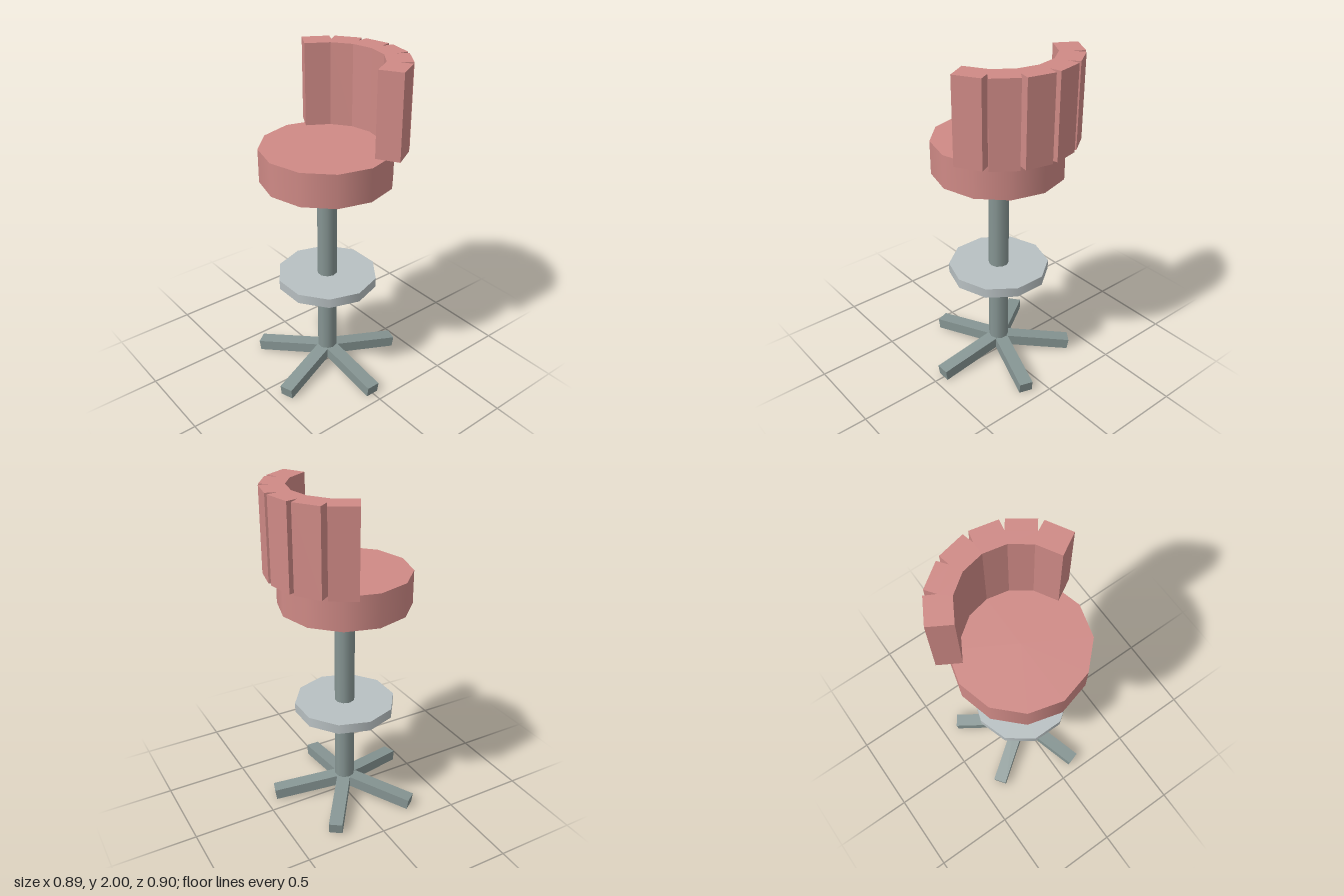
import * as THREE from 'three';

const CX = -0.0125, CZ = 0.004; // column axis

export function createModel() {
  const model = new THREE.Group();
  model.name = 'barStool';
  const upholstery = new THREE.MeshStandardMaterial({ color: 0xcf8a86 });
  upholstery.name = 'rose upholstery';
  const metal = new THREE.MeshStandardMaterial({ color: 0x869593 });
  metal.name = 'grey metal';
  const paleMetal = new THREE.MeshStandardMaterial({ color: 0xb8c0c2 });
  paleMetal.name = 'pale metal';

  const add = (name, geometry, material, parent = model) => {
    const mesh = new THREE.Mesh(geometry, material);
    mesh.name = name;
    parent.add(mesh);
    return mesh;
  };

  // Upright disc or post between two heights
  const disc = (name, radius, y0, y1, sides, material) => {
    const geometry = new THREE.CylinderGeometry(radius, radius, y1 - y0, sides);
    geometry.rotateY(Math.PI / 2);
    add(name, geometry, material).position.set(CX, (y0 + y1) / 2, CZ);
  };
  disc('seat', 0.388, 1.308, 1.508, 12, upholstery);
  disc('column', 0.061, 0.1, 1.31, 10, metal);
  disc('footRest', 0.305, 0.614, 0.673, 10, paleMetal);

  // Five sloping legs around the column
  const legGeometry = new THREE.BoxGeometry(0.46, 0.067, 0.082);
  legGeometry.translate(0.23, -0.0335, 0);
  legGeometry.rotateZ(-0.14);
  const base = new THREE.Group();
  base.name = 'base';
  base.position.set(CX, 0.1305, CZ);
  model.add(base);
  for (let i = 0; i < 5; i++) {
    add('leg' + (i + 1), legGeometry, metal, base).rotation.y = (-i * Math.PI * 2) / 5;
  }

  // Backrest: half outline as [x, -z], from the inner middle round to the outer middle notch
  const half = [
    [0, 0.311], [0.128, 0.285], [0.235, 0.207], [0.309, 0.08],
    [0.431, 0.151], [0.351, 0.29], [0.289, 0.257], [0.331, 0.314],
    [0.199, 0.407], [0.159, 0.353], [0.173, 0.42], [0.016, 0.453], [0, 0.386],
  ];
  const mirrored = half.slice(1, -1).reverse().map(([x, y]) => [-x, y]);
  const outline = [...half, ...mirrored].map(([x, y]) => new THREE.Vector2(x, y));
  const backGeometry = new THREE.ExtrudeGeometry(new THREE.Shape(outline), {
    depth: 0.49, bevelEnabled: false,
  });
  backGeometry.rotateX(-Math.PI / 2);
  add('backrest', backGeometry, upholstery).position.set(CX, 1.51, 0);

  return model;
}
